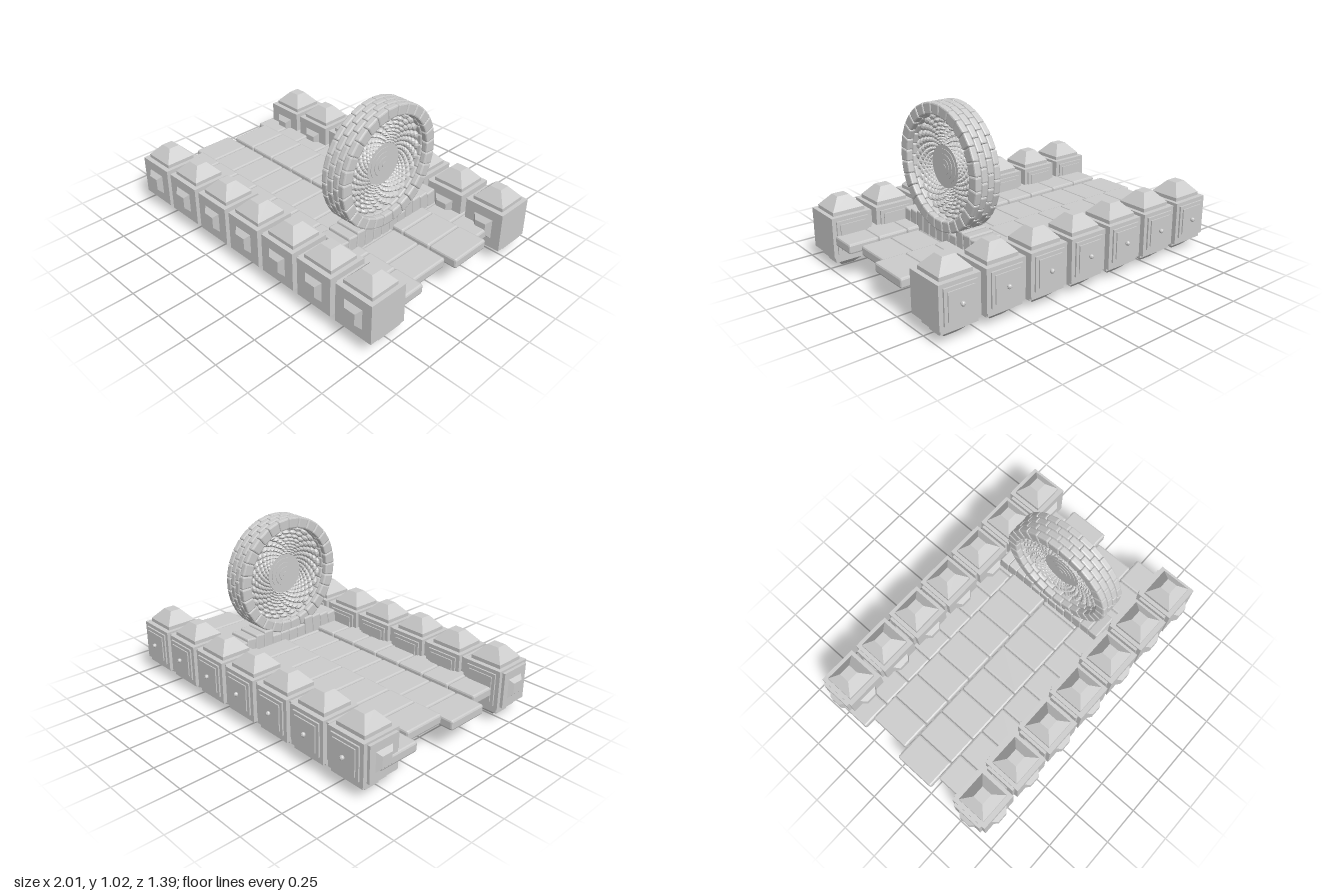
import * as THREE from 'three';
import { RoundedBoxGeometry } from 'three/addons/geometries/RoundedBoxGeometry.js';

const mat = new THREE.MeshStandardMaterial({ color: 0xcccccc, flatShading: true });

function add(parent, name, geo, x = 0, y = 0, z = 0) {
  const m = new THREE.Mesh(geo, mat);
  m.name = name;
  m.position.set(x, y, z);
  parent.add(m);
  return m;
}

// Box whose upper face (+y) is scaled, standing on y = 0
function frustum(w, d, h, topW, topD = topW) {
  const g = new THREE.BoxGeometry(w, h, d).translate(0, h / 2, 0);
  const p = g.attributes.position;
  for (let i = 0; i < p.count; i++) {
    if (p.getY(i) > h / 2) p.setXYZ(i, p.getX(i) * topW / w, h, p.getZ(i) * topD / d);
  }
  return g;
}

// One post block with cap, foot and ornaments on three sides
function createPost() {
  const post = new THREE.Group();
  post.name = 'postBlock';
  add(post, 'body', new THREE.BoxGeometry(0.25, 0.246, 0.25), 0, 0.215, 0);

  // Cap
  add(post, 'capSlab', new THREE.BoxGeometry(0.2, 0.022, 0.19), 0, 0.349, 0);
  add(post, 'capPyramid', frustum(0.2, 0.19, 0.07, 0.075, 0.068), 0, 0.36, 0);

  // Stepped foot ending in a ridge
  const fz = -0.03;
  add(post, 'footSlab', new THREE.BoxGeometry(0.225, 0.026, 0.17), 0, 0.081, fz);
  add(post, 'footStep', new THREE.BoxGeometry(0.187, 0.03, 0.095), 0, 0.055, fz);
  add(post, 'footPoint', frustum(0.15, 0.095, 0.041, 0.08, 0.006).rotateX(Math.PI), 0, 0.041, fz);

  // Stud on the front
  add(post, 'frontStud', frustum(0.125, 0.125, 0.027, 0.07).rotateX(Math.PI / 2), 0, 0.215, 0.125);

  // Framed panel with a knob on the back
  add(post, 'backPanel', new THREE.BoxGeometry(0.2, 0.2, 0.012), 0, 0.215, -0.129);
  add(post, 'backInnerPanel', new THREE.BoxGeometry(0.16, 0.16, 0.01), 0, 0.215, -0.137);
  add(post, 'backKnob', new THREE.SphereGeometry(0.014, 8, 6), 0, 0.215, -0.149);

  // Plate and stud on one side
  add(post, 'sidePlate', new THREE.BoxGeometry(0.018, 0.22, 0.2), -0.134, 0.215, 0);
  add(post, 'sideStud', frustum(0.12, 0.12, 0.024, 0.07).rotateZ(Math.PI / 2), -0.142, 0.215, 0);
  return post;
}

// Tapered block of a ring: y is radial, z is tangential
function ringBlock(width, rIn, rOut, step) {
  const r = (rIn + rOut) / 2;
  const g = new RoundedBoxGeometry(width, rOut - rIn, r * step, 1, 0.009);
  const p = g.attributes.position;
  for (let i = 0; i < p.count; i++) p.setZ(i, p.getZ(i) * (1 + p.getY(i) / r));
  return g.translate(0, r, 0);
}

function createWheel() {
  const wheel = new THREE.Group();
  wheel.name = 'wheel';
  const n = 28, step = Math.PI * 2 / n;

  // Four staggered columns of rim blocks
  const block = ringBlock(0.041, 0.303, 0.372, step);
  for (let c = 0; c < 4; c++) {
    for (let i = 0; i < n; i++) {
      add(wheel, 'rimBlock', block, (c - 1.5) * 0.0415).rotation.x = (i + (c % 2 ? 0 : 0.5)) * step;
    }
  }

  // Staggered rings of scales shrinking towards the hub
  const rings = 9, k = 0.905;
  for (let j = 0; j < rings; j++) {
    const r = 0.291 * k ** j;
    const scale = new THREE.SphereGeometry(1, 8, 6).rotateX(Math.PI / 2)
      .scale(0.03, r * 0.068, r * step * 0.49).translate(0, r, 0);
    for (let i = 0; i < n; i++) {
      add(wheel, 'discScale', scale).rotation.x = (i + (j % 2) / 2) * step;
    }
  }

  // Concentric hub discs
  [0.126, 0.102, 0.074, 0.045, 0.017].forEach((r, i) => {
    add(wheel, 'hubDisc', new THREE.CylinderGeometry(r, r, 0.046 + i * 0.006, 32).rotateZ(Math.PI / 2));
  });
  wheel.position.set(0.462, 0.645, 0.03);
  return wheel;
}

export function createModel() {
  const model = new THREE.Group();
  model.name = 'woodenDeckWithWheel';

  // Two rows of seven posts
  for (const z of [0.545, -0.535]) {
    for (let i = 0; i < 7; i++) {
      const post = createPost();
      post.position.set(-0.834 + i * 0.286, 0, z);
      model.add(post);
    }
  }

  // Four staggered rows of planks
  const deck = new THREE.Group();
  deck.name = 'deck';
  model.add(deck);
  const plank = new RoundedBoxGeometry(0.189, 0.062, 0.271, 1, 0.012);
  [[-0.43, 0.18, -0.985], [-0.157, 0.199, -0.915], [0.117, 0.18, -0.985], [0.39, 0.199, -0.915]]
    .forEach(([z, y, x0]) => {
      for (let i = 0; i < 10; i++) add(deck, 'plank', plank, x0 + (i + 0.5) * 0.1906, y, z);
    });

  // Sagging cradle of blocks under the wheel
  const cradle = new THREE.Group();
  cradle.name = 'cradle';
  model.add(cradle);
  const count = 12, length = 0.82 / count;
  for (let i = 0; i < count; i++) {
    const z = -0.405 + (i + 0.5) * length;
    const bottom = 0.126 + 0.2 * z * z;
    const top = Math.abs(z) < 0.14 ? 0.285 : 0.335 - 0.2 * z * z;
    const b = add(cradle, 'cradleBlock', new RoundedBoxGeometry(0.165, top - bottom, length, 1, 0.008),
      0.452, (top + bottom) / 2, z);
    b.rotation.x = -z * 0.35;
  }

  model.add(createWheel());
  return model;
}
